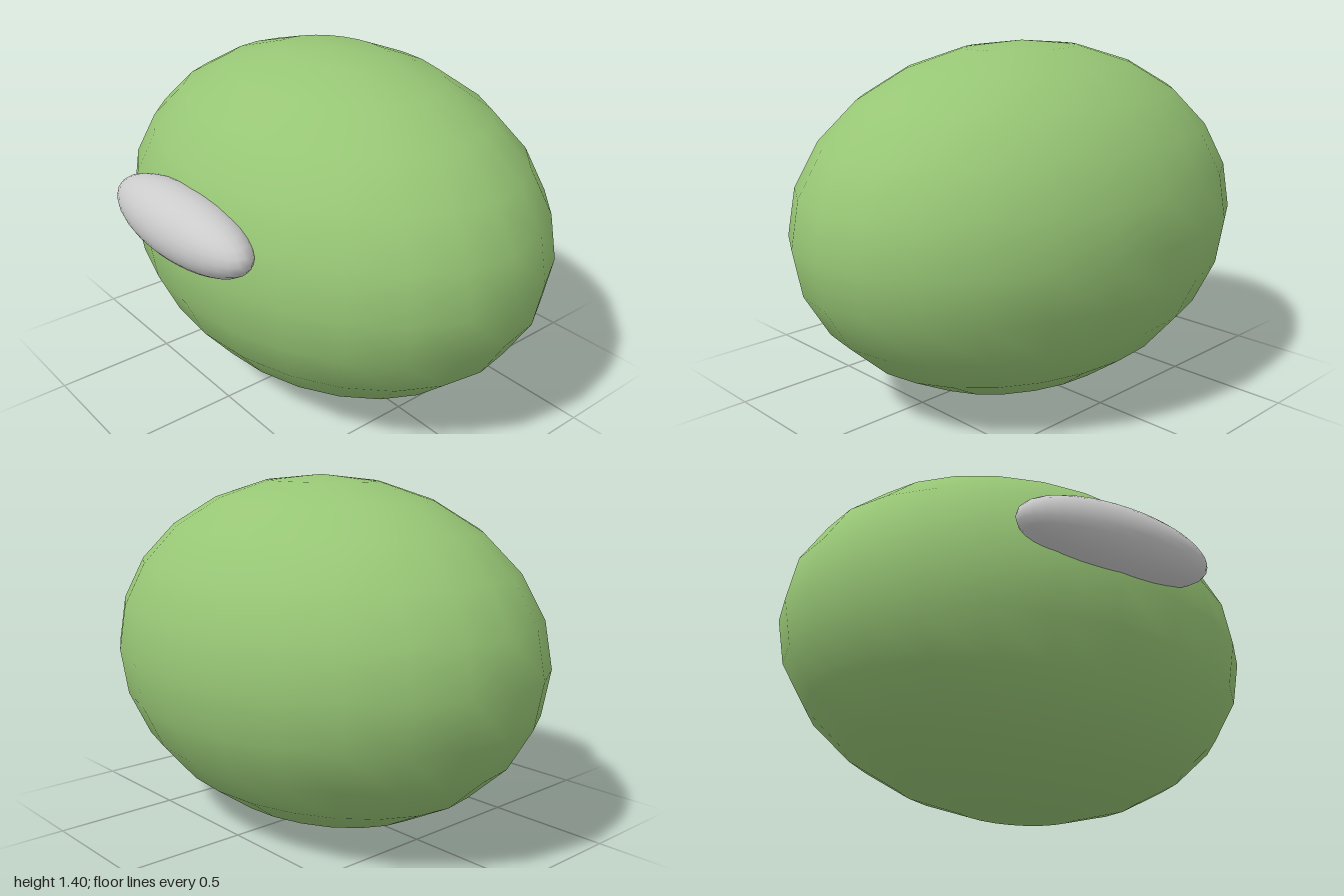
import * as THREE from 'three';

// Smooth ellipsoid with the given centre and radii
function ellipsoid(name, color, centre, radii, segments) {
  const geometry = new THREE.SphereGeometry(1, segments, segments / 2);
  geometry.scale(...radii);
  const mesh = new THREE.Mesh(geometry, new THREE.MeshStandardMaterial({ color }));
  mesh.name = name;
  mesh.position.set(...centre);
  return mesh;
}

export function createModel() {
  const group = new THREE.Group();
  group.name = 'roundHead';

  // Wide rounded body
  group.add(ellipsoid('body', 0x97c675, [0, 0.7, -0.055], [1, 0.7, 0.75], 24));

  // Flat oval set into the front
  group.add(ellipsoid('frontOval', 0xcccccc, [0, 0.862, 0.664], [0.417, 0.138, 0.14], 32));

  return group;
}
